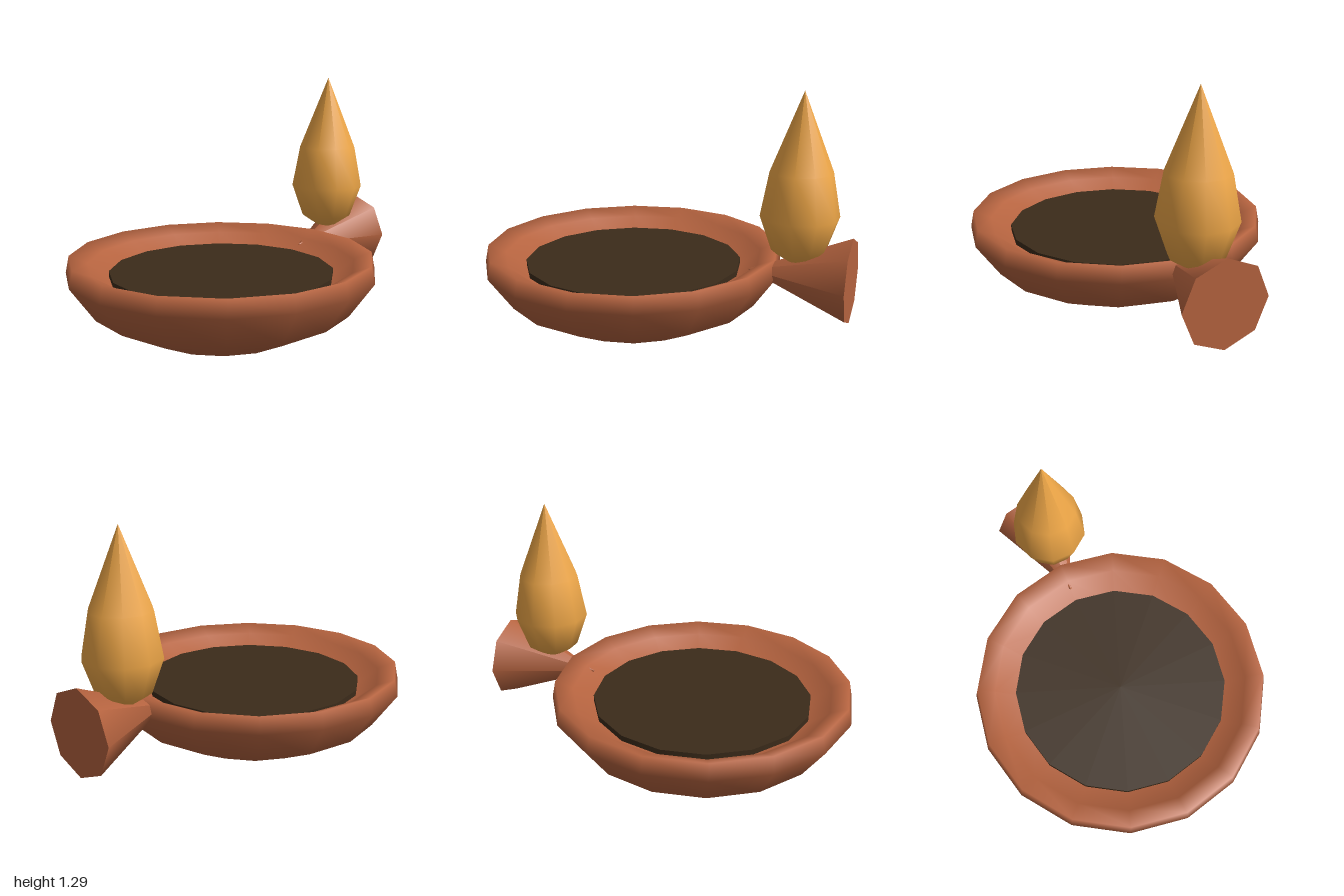
import * as THREE from 'three';

const clay = new THREE.MeshStandardMaterial({ color: 0xb5633f });
const oilDark = new THREE.MeshStandardMaterial({ color: 0x3b2b1a });
const flameGold = new THREE.MeshStandardMaterial({ color: 0xf0a848 });

const BOWL_X = -0.19;

function addPart(group, name, geometry, material, x, y) {
  const mesh = new THREE.Mesh(geometry, material);
  mesh.name = name;
  mesh.position.set(x, y, 0);
  group.add(mesh);
}

function lathe(profile, sides) {
  return new THREE.LatheGeometry(profile.map(([r, y]) => new THREE.Vector2(r, y)), sides);
}

export function createModel() {
  const lamp = new THREE.Group();
  lamp.name = 'oilLamp';

  // Shallow bowl: base, flared wall, rim, then the hollow inside
  const bowl = lathe([
    [0, 0], [0.41, 0], [0.685, 0.14], [0.813, 0.32], [0.795, 0.41],
    [0.7, 0.37], [0.55, 0.25], [0, 0.18],
  ], 16);
  addPart(lamp, 'bowl', bowl, clay, BOWL_X, 0);

  // Thin disc of oil
  addPart(lamp, 'oil', new THREE.CylinderGeometry(0.59, 0.59, 0.03, 16), oilDark, BOWL_X, 0.31);

  // Spout: cone lying on its side, tip buried in the bowl wall
  const spout = new THREE.ConeGeometry(0.226, 0.54, 8).rotateZ(Math.PI / 2);
  addPart(lamp, 'spout', spout, clay, 0.73, 0.345);

  // Flame standing on the spout
  const flame = lathe([[0, 0.39], [0.14, 0.48], [0.203, 0.66], [0.16, 0.89], [0, 1.295]], 10);
  addPart(lamp, 'flame', flame, flameGold, 0.725, 0);

  return lamp;
}
